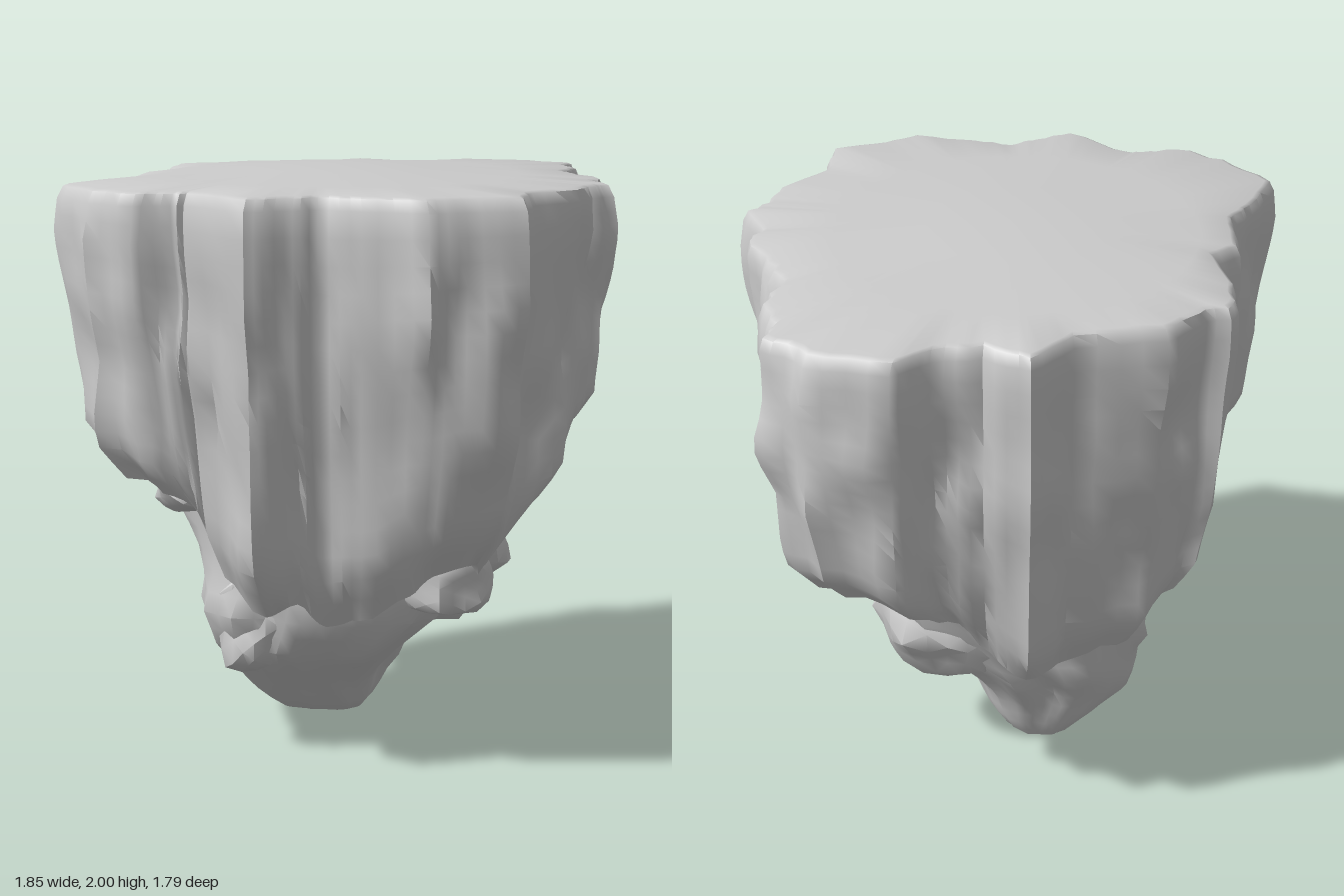
import * as THREE from 'three';
import { toCreasedNormals, mergeVertices } from 'three/addons/utils/BufferGeometryUtils.js';

const material = new THREE.MeshStandardMaterial({ color: 0xcccccc });

// 3D value noise in -1..1
const hash = (x, y, z) => {
  const s = Math.sin(x * 127.1 + y * 311.7 + z * 74.7) * 43758.5453;
  return (s - Math.floor(s)) * 2 - 1;
};
function noise(x, y, z) {
  const xi = Math.floor(x), yi = Math.floor(y), zi = Math.floor(z);
  const [u, v, w] = [x - xi, y - yi, z - zi];
  let sum = 0;
  for (let k = 0; k < 8; k++) {
    const a = k & 1, b = (k >> 1) & 1, c = k >> 2;
    sum += hash(xi + a, yi + b, zi + c) * (a ? u : 1 - u) * (b ? v : 1 - v) * (c ? w : 1 - w);
  }
  return sum;
}

// Piecewise linear lookup in a table of [key, values...], keys descending
function lookup(table, key) {
  let i = 0;
  while (i < table.length - 2 && key < table[i + 1][0]) i++;
  const [a, b] = [table[i], table[i + 1]];
  const t = THREE.MathUtils.clamp((a[0] - key) / (a[0] - b[0]), 0, 1);
  return a.slice(1).map((v, k) => v + (b[k + 1] - v) * t);
}

// Skin closed loops listed from top to bottom
function loft(rows, crease) {
  const n = rows[0].length, index = [];
  for (let i = 0; i < rows.length - 1; i++) {
    for (let j = 0; j < n; j++) {
      const a = i * n + j, b = i * n + (j + 1) % n;
      index.push(a, a + n, b + n, a, b + n, b);
    }
  }
  const geometry = new THREE.BufferGeometry();
  geometry.setAttribute('position', new THREE.Float32BufferAttribute(rows.flat(2), 3));
  geometry.setIndex(index);
  return toCreasedNormals(geometry, crease);
}

// Rim of the plateau: x, z and the height where the rock column below ends
const RIM = [
  [-0.92, 0.4, 1.08], [-0.78, 0.6, 1.0], [-0.62, 0.7, 0.95], [-0.5, 0.68, 0.86],
  [-0.45, 0.68, 0.66], [-0.24, 0.87, 0.56], [-0.12, 0.82, 0.6], [-0.02, 0.77, 0.5],
  [0.12, 0.82, 0.53], [0.33, 0.88, 0.64], [0.44, 0.82, 0.7], [0.63, 0.77, 0.74],
  [0.66, 0.57, 0.64], [0.81, 0.43, 0.93], [0.85, 0.3, 1.08], [0.92, 0.24, 1.16],
  [0.86, 0.08, 1.14], [0.9, 0, 1.14], [0.83, -0.17, 1.08], [0.77, -0.31, 0.88],
  [0.83, -0.47, 0.9], [0.78, -0.6, 0.95], [0.82, -0.7, 1.0], [0.68, -0.81, 1.0],
  [0.42, -0.88, 0.95], [0.3, -0.8, 0.85], [0.14, -0.78, 0.68], [0, -0.87, 0.6],
  [-0.14, -0.73, 0.57], [-0.43, -0.7, 0.62], [-0.55, -0.6, 0.78], [-0.66, -0.55, 0.85],
  [-0.68, -0.4, 0.9], [-0.64, -0.18, 0.95], [-0.73, -0.12, 0.95], [-0.74, 0.1, 0.98],
  [-0.82, 0.2, 1.02],
];
const TAPER = [[1.95, 0.985], [1.8, 1], [1.4, 0.96], [1.15, 0.92], [0.95, 0.88], [0.7, 0.81], [0.5, 0.74]];

// Plateau with columns of uneven length hanging from its rim
function createCliff() {
  const rim = [];
  RIM.forEach((p, i) => {
    const q = RIM[(i + 1) % RIM.length];
    for (let k = 0; k < 4; k++) {
      const t = k / 4, s = t * t * (3 - 2 * t);
      const jag = k ? 1 + 0.02 * noise(i * 1.7, k * 2.3, 5) : 1;
      rim.push([(p[0] + (q[0] - p[0]) * t) * jag, (p[1] + (q[1] - p[1]) * t) * jag, p[2] + (q[2] - p[2]) * s]);
    }
  });
  // Faintly domed top: round rings inside, the rim outline outside
  const disc = (r, y) => rim.map(([x, z]) => [x * r / Math.hypot(x, z), y, z * r / Math.hypot(x, z)]);
  const ring = (scale, y) => rim.map(([x, z]) => [x * scale, y, z * scale]);
  const rows = [disc(0, 2), disc(0.3, 1.987), disc(0.6, 1.967), ring(0.95, 1.955), ring(0.97, 1.948)];
  const steps = 16;
  for (let i = 0; i <= steps; i++) {
    const t = i / steps;
    rows.push(rim.map(([x, z, end]) => {
      const y = 1.91 + (end - 1.91) * t;
      const [taper] = lookup(TAPER, y);
      const rough = 0.055 * noise(x * 5, y * 2.6, z * 5) + 0.045 * noise(x * 10, y * 5, z * 10);
      const inset = 0.07 * Math.max(0, (t - 0.88) / 0.12) - rough * Math.min(1, 0.1 + t * 3);
      // Each face leans inwards mainly along its own normal
      const nx = x * x / (x * x + z * z);
      const lean = (n) => 1 - (1 - taper) * Math.min(1, 0.35 + 1.3 * n) - inset;
      return [x * lean(nx), y, z * lean(1 - nx)];
    }));
  }
  // Underside rising inwards to the core
  for (const [s, lift] of [[0.6, 0.01], [0.4, 0.12], [0, 0.3]]) {
    rows.push(rim.map(([x, z, end]) => [x * s, s ? end + lift : 1.1, z * s]));
  }
  return loft(rows, 0.85);
}

// Core: height, x min, x max, z min, z max
const CORE = [
  [1.3, -0.6, 0.72, -0.6, 0.55], [1.08, -0.58, 0.7, -0.57, 0.53], [0.9, -0.56, 0.62, -0.5, 0.52],
  [0.7, -0.51, 0.55, -0.43, 0.53], [0.5, -0.48, 0.39, -0.38, 0.48], [0.36, -0.45, 0.23, -0.34, 0.42],
  [0.22, -0.39, 0.14, -0.27, 0.23], [0.1, -0.3, 0.11, -0.23, 0.09], [0.03, -0.22, 0.06, -0.2, 0],
  [0, -0.17, 0, -0.18, -0.1],
];
function createCore() {
  const rows = [], n = 48;
  for (let i = 0; i <= 20; i++) {
    const y = 1.3 * Math.pow(1 - i / 20, 1.2);
    const [x0, x1, z0, z1] = lookup(CORE, y);
    const row = [];
    for (let j = 0; j < n; j++) {
      const a = j / n * Math.PI * 2, c = -Math.cos(a), s = Math.sin(a);
      const box = 1 / Math.pow(Math.abs(c) ** 2.8 + Math.abs(s) ** 2.8, 1 / 2.8);
      const r = box * (0.99 + 0.12 * noise(c * 2.6 + 4, y * 4, s * 2.6) + 0.08 * noise(c * 5, y * 8, s * 5));
      row.push([(x0 + x1 + (x1 - x0) * c * r) / 2, y, (z0 + z1 + (z1 - z0) * s * r) / 2]);
    }
    rows.push(row);
  }
  rows.push(rows[20].map(() => [-0.1, 0, -0.15]));
  return loft(rows, 0.8);
}

// Lumpy rock mostly sunk into the core
function createBoulder([x, y, z], [w, h, d], seed) {
  const base = new THREE.IcosahedronGeometry(1, 3);
  base.deleteAttribute('normal');
  base.deleteAttribute('uv');
  const geometry = mergeVertices(base);
  const p = geometry.attributes.position, v = new THREE.Vector3();
  for (let i = 0; i < p.count; i++) {
    v.fromBufferAttribute(p, i);
    const cube = 1 / Math.pow(Math.abs(v.x) ** 4 + Math.abs(v.y) ** 4 + Math.abs(v.z) ** 4, 0.25);
    v.multiplyScalar((1 + cube) / 2 * (0.93 + 0.25 * noise(v.x * 1.9 + seed, v.y * 1.9, v.z * 1.9)));
    p.setXYZ(i, x + v.x * w, y + v.y * h, z + v.z * d);
  }
  return toCreasedNormals(geometry, 0.7);
}

const BOULDERS = [
  [[0.46, 0.94, 0.07], [0.2, 0.12, 0.2]],
  [[0.38, 0.78, 0.26], [0.2, 0.15, 0.18]],
  [[0.26, 0.57, -0.13], [0.25, 0.23, 0.24]],
  [[0.36, 0.65, 0.36], [0.18, 0.13, 0.2]],
  [[-0.27, 0.47, 0.25], [0.15, 0.2, 0.19]],
  [[-0.45, 0.97, 0.34], [0.17, 0.13, 0.22]],
];

export function createModel() {
  const group = new THREE.Group();
  group.name = 'floatingRock';
  const add = (name, geometry) => {
    const mesh = new THREE.Mesh(geometry, material);
    mesh.name = name;
    group.add(mesh);
  };
  add('plateauCliff', createCliff());
  add('taperedCore', createCore());
  BOULDERS.forEach(([at, size], i) => add(`boulder${i + 1}`, createBoulder(at, size, i * 7 + 3)));
  return group;
}
